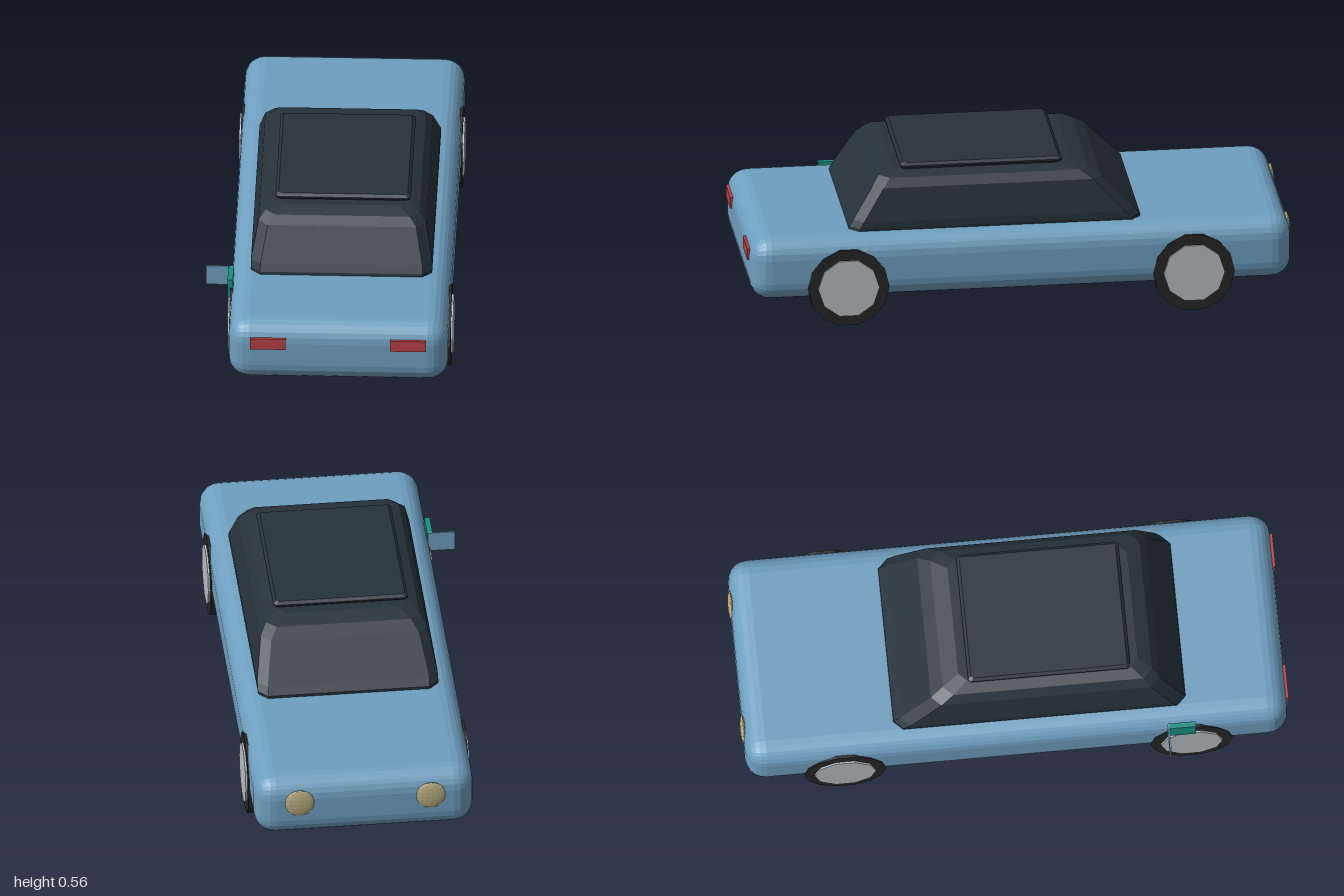
import * as THREE from 'three';
import { RoundedBoxGeometry } from 'three/addons/geometries/RoundedBoxGeometry.js';

const CX = 0.04; // the car's own centre line (the mirror widens one side)

const mat = (color) => new THREE.MeshStandardMaterial({ color, flatShading: true });

// Stacked chamfered rectangles: each level is [y, halfWidth, zMin, zMax, chamfer]
function loft(levels) {
  const pos = [], idx = [];
  for (const [y, w, z0, z1, c] of levels) {
    const ring = [
      [w - c, z1], [w, z1 - c], [w, z0 + c], [w - c, z0],
      [c - w, z0], [-w, z0 + c], [-w, z1 - c], [c - w, z1],
    ];
    for (const [x, z] of ring) pos.push(x, y, z);
  }
  const last = (levels.length - 1) * 8;
  for (let r = 0; r < last; r += 8) {
    for (let i = 0; i < 8; i++) {
      const a = r + i, b = r + (i + 1) % 8;
      idx.push(a, b, b + 8, a, b + 8, a + 8);
    }
  }
  for (let i = 1; i < 7; i++) {
    idx.push(last, last + i, last + i + 1); // top cap
    idx.push(0, i + 1, i); // bottom cap
  }
  const g = new THREE.BufferGeometry();
  g.setAttribute('position', new THREE.Float32BufferAttribute(pos, 3));
  g.setIndex(idx);
  g.computeVertexNormals();
  return g;
}

export function createModel() {
  const model = new THREE.Group();
  const add = (name, geometry, material, x, y, z) => {
    const mesh = new THREE.Mesh(geometry, material);
    mesh.name = name;
    mesh.position.set(x, y, z);
    model.add(mesh);
    return mesh;
  };
  const paint = mat(0x6f9fc0), glass = mat(0x26323b), rubber = mat(0x262626);
  const metal = mat(0xb8bcc0), red = mat(0xb84045), lamp = mat(0xb8ac80), teal = mat(0x1a8f80);

  // Body shell
  add('body', new RoundedBoxGeometry(0.8, 0.24, 1.98, 3, 0.075), paint, CX, 0.215, 0);

  // Dark cabin with sloped windscreens and softened roof edge
  add('cabin', loft([
    [0.32, 0.325, -0.445, 0.625, 0.03],
    [0.345, 0.33, -0.445, 0.62, 0.035],
    [0.37, 0.33, -0.42, 0.605, 0.035],
    [0.49, 0.305, -0.305, 0.53, 0.035],
    [0.52, 0.28, -0.26, 0.505, 0.035],
    [0.537, 0.235, -0.2, 0.455, 0.03],
  ]), glass, CX, 0, 0);

  // Raised roof panel with bevelled rim
  add('roofPanel', loft([
    [0.532, 0.235, -0.155, 0.415, 0.008],
    [0.545, 0.246, -0.166, 0.426, 0.01],
    [0.55, 0.246, -0.166, 0.426, 0.01],
    [0.559, 0.235, -0.155, 0.415, 0.008],
  ]), glass, CX, 0, 0);

  // Wheels: faceted tyre and a hub cap just proud of it
  const tyre = new THREE.CylinderGeometry(0.149, 0.149, 0.11, 14).rotateZ(Math.PI / 2);
  const hub = new THREE.CylinderGeometry(0.112, 0.112, 0.02, 10).rotateZ(Math.PI / 2);
  for (const side of [-1, 1]) {
    for (const z of [0.635, -0.63]) {
      add('tyre', tyre, rubber, CX + side * 0.348, 0.146, z);
      add('hubCap', hub, metal, CX + side * 0.4, 0.146, z);
    }
    // Bar lights on one end, round lamps on the other
    add('barLight', new THREE.BoxGeometry(0.13, 0.044, 0.03), red, CX + side * 0.255, 0.262, 0.982);
    const lens = new THREE.SphereGeometry(0.055, 16, 10);
    lens.scale(1, 1, 0.22);
    add('roundLamp', lens, lamp, CX + side * 0.24, 0.245, -0.988);
  }

  // Single wing mirror: mount and thin panel
  add('mirrorMount', new THREE.BoxGeometry(0.02, 0.075, 0.1), teal, -0.363, 0.288, 0.6);
  add('mirrorPanel', new THREE.BoxGeometry(0.1, 0.077, 0.006), paint, -0.405, 0.288, 0.55);

  return model;
}
